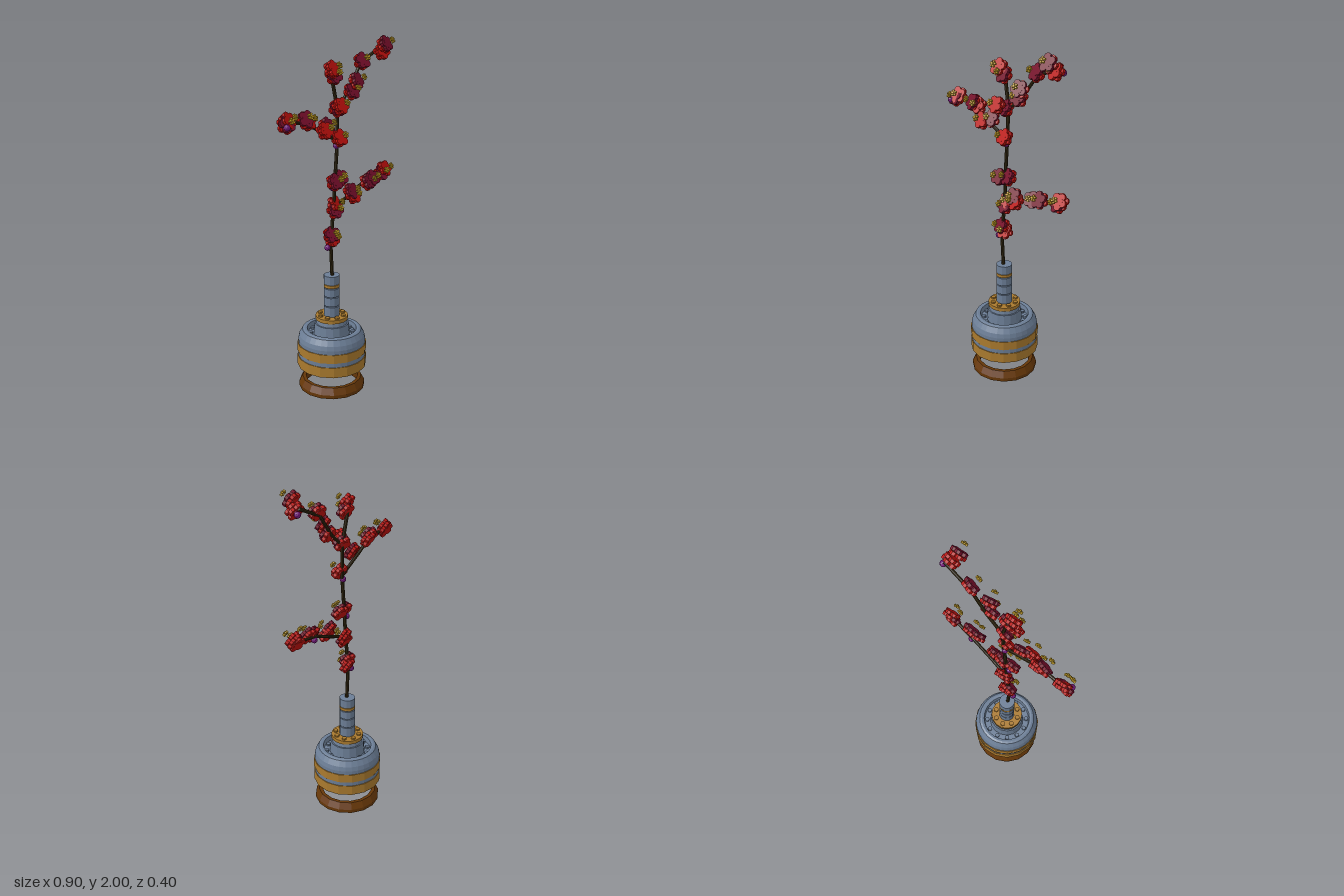
import * as THREE from 'three';

const mat = (name, color) => {
  const m = new THREE.MeshStandardMaterial({ color, flatShading: true });
  m.name = name;
  return m;
};

export function createModel() {
  const slate = mat('slate blue', 0x6c7e96);
  const gold = mat('gold', 0xaa7a2e);
  const brown = mat('burnt brown', 0x663708);
  const navy = mat('navy', 0x1a3866);
  const bark = mat('bark', 0x352a12);
  const red = mat('red', 0xbc100c);
  const crimson = mat('crimson', 0x760e2a);
  const purple = mat('purple', 0x74187a);
  const yellow = mat('stamen yellow', 0xc6a024);

  const model = new THREE.Group();
  const vase = new THREE.Group();
  vase.name = 'vase';
  vase.position.x = -0.04;
  model.add(vase);

  const add = (parent, name, geo, m, x = 0, y = 0, z = 0) => {
    const mesh = new THREE.Mesh(geo, m);
    mesh.name = name;
    mesh.position.set(x, y, z);
    parent.add(mesh);
    return mesh;
  };
  // closed ring turned from [radius, height] points, listed bottom to top on the outside
  const turned = (name, pts, m, sides = 16) =>
    add(vase, name, new THREE.LatheGeometry(
      [...pts, pts[0]].map(p => new THREE.Vector2(...p)), sides), m);
  const disc = (name, r, y0, y1, m, sides = 16, rTop = r) =>
    add(vase, name, new THREE.CylinderGeometry(rTop, r, y1 - y0, sides), m, 0, (y0 + y1) / 2);
  const studs = (name, n, ring, y, r, m) => {
    for (let i = 0; i < n; i++) {
      const a = (i + 0.5) / n * Math.PI * 2;
      add(vase, name, new THREE.CylinderGeometry(r, r, 0.014, 8), m,
        Math.cos(a) * ring, y, Math.sin(a) * ring);
    }
  };

  // loose foot ring
  turned('footRing', [[0.155, 0.004], [0.192, 0.004], [0.192, 0.025], [0.172, 0.063], [0.152, 0.063]], brown);

  // hollow body with a recessed top
  turned('bodyShell', [[0.165, 0.14], [0.186, 0.14], [0.194, 0.2], [0.194, 0.305], [0.188, 0.33],
    [0.17, 0.362], [0.157, 0.367], [0.142, 0.365], [0.137, 0.335], [0.16, 0.30]], slate, 32);
  for (const [y0, y1] of [[0.142, 0.203], [0.23, 0.282]])
    turned('goldBand', [[0.18, y0], [0.2, y0], [0.2, y1], [0.18, y1]], gold);
  disc('bodyFloor', 0.167, 0.165, 0.18, slate);
  disc('bodyCore', 0.1, 0.137, 0.165, navy);
  disc('bottomPlate', 0.088, 0.122, 0.137, navy);
  studs('undersideStud', 12, 0.135, 0.16, 0.014, slate);
  disc('shoulderFloor', 0.155, 0.315, 0.33, slate);
  studs('shoulderStud', 12, 0.122, 0.336, 0.013, slate);

  // shoulder, collar and segmented neck
  disc('shoulder', 0.104, 0.33, 0.4, slate, 16, 0.098);
  disc('shoulderTop', 0.09, 0.4, 0.425, slate, 16, 0.085);
  disc('goldCollar', 0.094, 0.425, 0.447, gold);
  studs('collarStud', 8, 0.07, 0.45, 0.014, gold);
  disc('neckCore', 0.034, 0.445, 0.685, slate, 12);
  for (const [y0, y1] of [[0.445, 0.505], [0.511, 0.562], [0.568, 0.615], [0.641, 0.692]])
    disc('neckSegment', 0.046, y0, y1, slate, 12);
  disc('neckGoldRing', 0.046, 0.621, 0.638, gold, 12);

  // branches as jointed straight rods
  const branch = (name, r, pts) => {
    for (let i = 1; i < pts.length; i++) {
      const a = new THREE.Vector3(...pts[i - 1]), b = new THREE.Vector3(...pts[i]);
      const d = b.clone().sub(a);
      const rod = add(model, name, new THREE.CylinderGeometry(r, r, d.length() + r, 8), bark);
      rod.position.copy(a).lerp(b, 0.5);
      rod.quaternion.setFromUnitVectors(new THREE.Vector3(0, 1, 0), d.normalize());
    }
  };
  branch('stem', 0.01, [[-0.04, 0.66, 0.005], [-0.053, 0.88, 0.005], [-0.028, 1.1, 0.005],
    [-0.02, 1.25, 0.008], [-0.004, 1.45, 0.01], [0.001, 1.64, 0.005], [-0.04, 1.84, -0.005]]);
  branch('lowerRightBranch', 0.009, [[-0.025, 1.09, 0.005], [0.09, 1.13, 0.01], [0.22, 1.185, 0.01], [0.4, 1.215, 0.015]]);
  branch('leftBranch', 0.009, [[-0.004, 1.46, 0.01], [-0.16, 1.54, 0.015], [-0.25, 1.595, 0.015], [-0.4, 1.615, 0.015]]);
  branch('upperRightBranch', 0.009, [[0, 1.63, 0.005], [0.1, 1.72, 0], [0.2, 1.85, -0.005], [0.36, 1.925, -0.01]]);

  // blossom of two five-petalled layers with floating stamens, built facing +z and tilted upward
  const petal = new THREE.CylinderGeometry(0.021, 0.02, 0.018, 8).rotateX(Math.PI / 2);
  const heart = new THREE.CylinderGeometry(0.028, 0.028, 0.019, 10).rotateX(Math.PI / 2);
  const bead = new THREE.CylinderGeometry(0.0065, 0.0065, 0.012, 6).rotateX(Math.PI / 2);
  const blossom = ([x, y, z, front], k) => {
    const g = new THREE.Group();
    g.name = 'blossom';
    g.position.set(x, y, z + 0.01);
    g.rotation.set(-0.5, ((k * 3) % 5 - 2) * 0.1, 0);
    add(g, 'frontHeart', heart, front, 0, 0, 0.008);
    add(g, 'backHeart', heart, red, 0, 0, -0.013);
    add(g, 'stamen', bead, yellow, 0, 0, 0.058);
    for (let i = 0; i < 5; i++) {
      const a = Math.PI / 2 + i * Math.PI * 0.4 + k * 0.3, c = Math.cos(a), s = Math.sin(a);
      add(g, 'frontPetal', petal, front, c * 0.028, s * 0.028, 0.008);
      add(g, 'backPetal', petal, red, -c * 0.028, -s * 0.028, -0.012);
      add(g, 'stamen', bead, yellow, c * 0.0125, s * 0.0125, 0.053);
    }
    model.add(g);
  };
  [
    [-0.05, 0.935, 0, crimson], [-0.036, 0.905, -0.01, red],
    [-0.02, 1.07, 0, crimson], [-0.01, 1.1, -0.01, red],
    [-0.047, 1.24, 0.02, crimson], [0.012, 1.25, 0.005, crimson],
    [0.08, 1.165, 0.03, crimson], [0.095, 1.14, 0.035, red],
    [0.222, 1.19, 0.03, crimson], [0.27, 1.202, 0.025, crimson],
    [0.385, 1.21, 0.005, crimson], [0.4, 1.23, 0.01, red],
    [-0.005, 1.48, 0.02, red],
    [-0.11, 1.56, 0.02, crimson], [-0.153, 1.545, 0.045, red],
    [-0.262, 1.615, 0.01, crimson], [-0.235, 1.6, 0, red],
    [-0.405, 1.61, 0.01, crimson], [-0.39, 1.625, 0.005, red],
    [-0.033, 1.66, 0.05, red], [-0.008, 1.64, 0.005, crimson],
    [-0.055, 1.852, 0.01, red], [-0.03, 1.815, 0, crimson],
    [0.12, 1.775, 0.03, crimson], [0.1, 1.72, 0.015, crimson],
    [0.208, 1.87, -0.005, crimson],
    [0.338, 1.954, 0.05, crimson], [0.355, 1.91, 0.015, red],
  ].forEach(blossom);

  // unopened buds
  for (const [x, y, z] of [[-0.08, 0.865, 0.005], [-0.012, 1.435, 0.01], [-0.425, 1.6, 0.045],
    [0.24, 1.17, 0.01], [-0.045, 1.205, 0.01], [0.375, 1.9, -0.01]])
    add(model, 'bud', new THREE.IcosahedronGeometry(0.018, 1), purple, x, y, z);

  return model;
}
